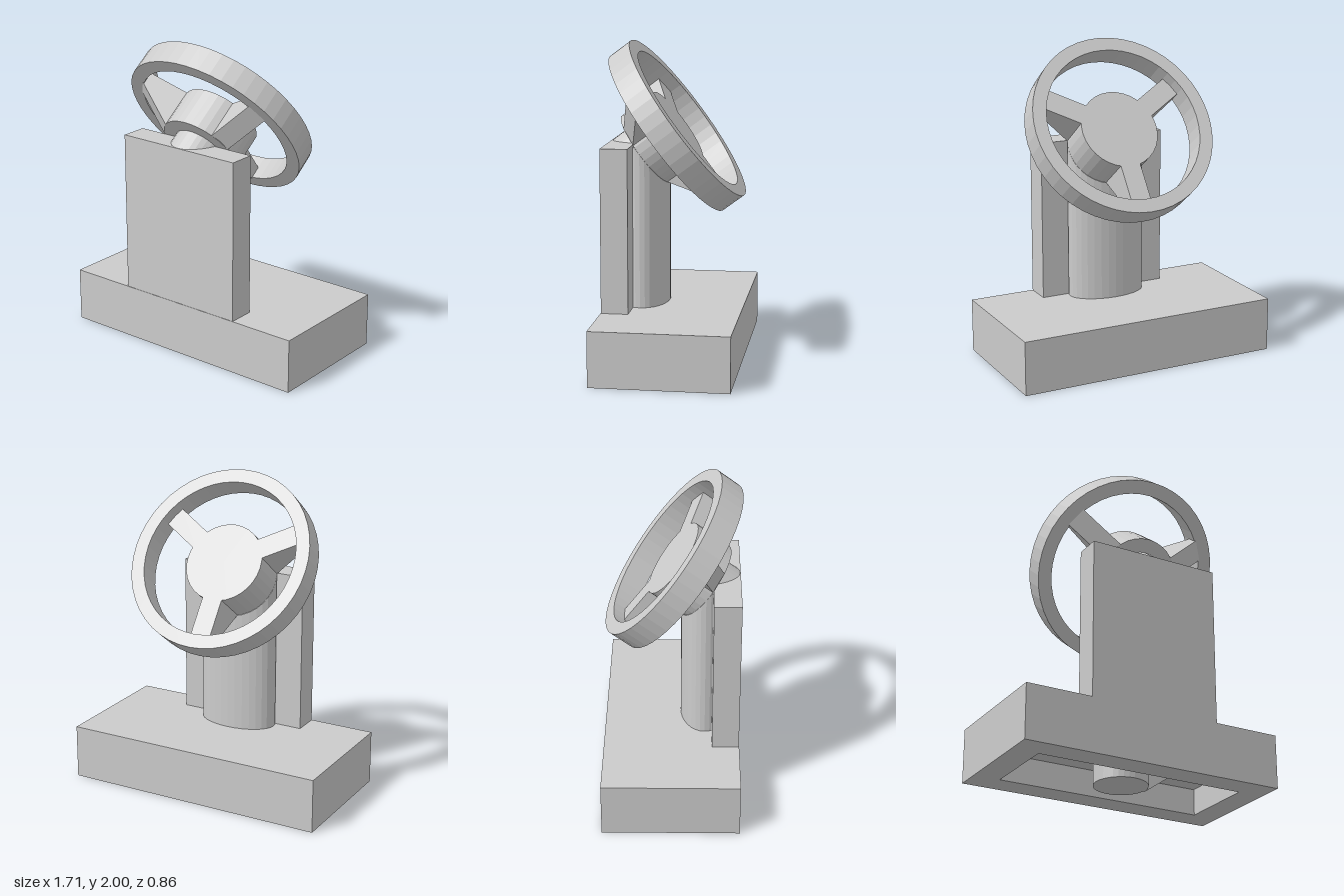
import * as THREE from 'three';

const material = new THREE.MeshStandardMaterial({ color: 0xcccccc, flatShading: true });
const TILT = -Math.atan2(0.8, 0.6); // wheel axis leans back: (0, 0.6, -0.8)
const HUB_R = 0.257, HUB_H = 0.257, SHAFT_R = 0.17;

function add(parent, name, geometry, x = 0, y = 0, z = 0) {
  const mesh = new THREE.Mesh(geometry, material);
  mesh.name = name;
  mesh.position.set(x, y, z);
  parent.add(mesh);
  return mesh;
}

// Apply a rule to every vertex of a geometry
function reshape(geometry, rule) {
  const pos = geometry.attributes.position, v = new THREE.Vector3();
  for (let i = 0; i < pos.count; i++) {
    v.fromBufferAttribute(pos, i);
    rule(v);
    pos.setXYZ(i, v.x, v.y, v.z);
  }
  geometry.computeVertexNormals();
  return geometry;
}

// Flat profile given a thickness, centred on z = 0
function plate(points, thickness) {
  const shape = new THREE.Shape(points.map(([x, y]) => new THREE.Vector2(x, y)));
  return new THREE.ExtrudeGeometry(shape, { depth: thickness, bevelEnabled: false })
    .translate(0, 0, -thickness / 2);
}

function rectangle(Type, w, d) {
  return new Type([[-w, -d], [w, -d], [w, d], [-w, d]].map(([x, y]) => new THREE.Vector2(x, y)));
}

export function createModel() {
  const model = new THREE.Group();
  model.name = 'handwheelStand';

  // Base: solid slab over a hollow skirt
  const base = new THREE.Group();
  base.name = 'base';
  model.add(base);
  add(base, 'baseSlab', new THREE.BoxGeometry(1.71, 0.175, 0.855), 0, 0.2575, 0);
  const skirt = rectangle(THREE.Shape, 0.855, 0.4275);
  skirt.holes.push(rectangle(THREE.Path, 0.685, 0.257));
  add(base, 'baseSkirt', new THREE.ExtrudeGeometry(skirt, { depth: 0.17, bevelEnabled: false })
    .rotateX(-Math.PI / 2));

  // Boss and its rib inside the hollow base
  add(base, 'underBoss', new THREE.CylinderGeometry(SHAFT_R, SHAFT_R, 0.19, 32), 0, 0.095, 0);
  add(base, 'underRib', plate([[0.15, 0], [0.18, 0], [0.42, 0.17], [0.42, 0.18], [0.15, 0.18]], 0.04));

  // Upright plate
  add(model, 'uprightPlate', new THREE.BoxGeometry(0.855, 1.04, 0.17), 0, 0.85, 0.34);

  // Column: upright ellipse below the hub, cut along the hub's underside
  const column = new THREE.CylinderGeometry(1, 1, 1, 32).translate(0, 0.5, 0);
  add(model, 'column', reshape(column, (v) => {
    v.x *= HUB_R;
    v.z = 0.21 + v.z * HUB_R * 0.6;
    v.y = v.y > 0.5 ? Math.min(1.365, (0.62 + 0.8 * v.z) / 0.6) : 0.33;
  }));

  // Wheel, built upright and then tilted; the hub's top face is at its origin
  const wheel = new THREE.Group();
  wheel.name = 'wheel';
  wheel.position.set(0, 1.47, 0.005);
  wheel.rotation.x = TILT;
  model.add(wheel);

  const rimProfile = [[0.6, -0.0815], [0.6, 0.0815], [0.512, 0.0815], [0.512, -0.0815], [0.6, -0.0815]];
  add(wheel, 'rim', new THREE.LatheGeometry(rimProfile.map(([x, y]) => new THREE.Vector2(x, y)), 48));
  add(wheel, 'hub', new THREE.CylinderGeometry(HUB_R, HUB_R, HUB_H, 32), 0, -HUB_H / 2, 0);

  // Three tapered spokes
  const spoke = plate([[0.2, -HUB_H], [0.25, -HUB_H], [0.52, -0.08], [0.52, 0], [0.2, 0]], 0.134);
  for (let i = 0; i < 3; i++) {
    add(wheel, 'spoke', spoke).rotation.y = Math.PI / 2 + (i * Math.PI * 2) / 3;
  }

  // Shaft: runs from the hub into the plate, its end trimmed just inside the plate's front
  const shaft = new THREE.CylinderGeometry(SHAFT_R, SHAFT_R, 0.2, 32).translate(0, -0.3, 0);
  add(wheel, 'shaft', reshape(shaft, (v) => {
    if (v.y < -0.3) v.y = (0.005 + 0.6 * v.z - 0.422) / 0.8;
  }));

  return model;
}
